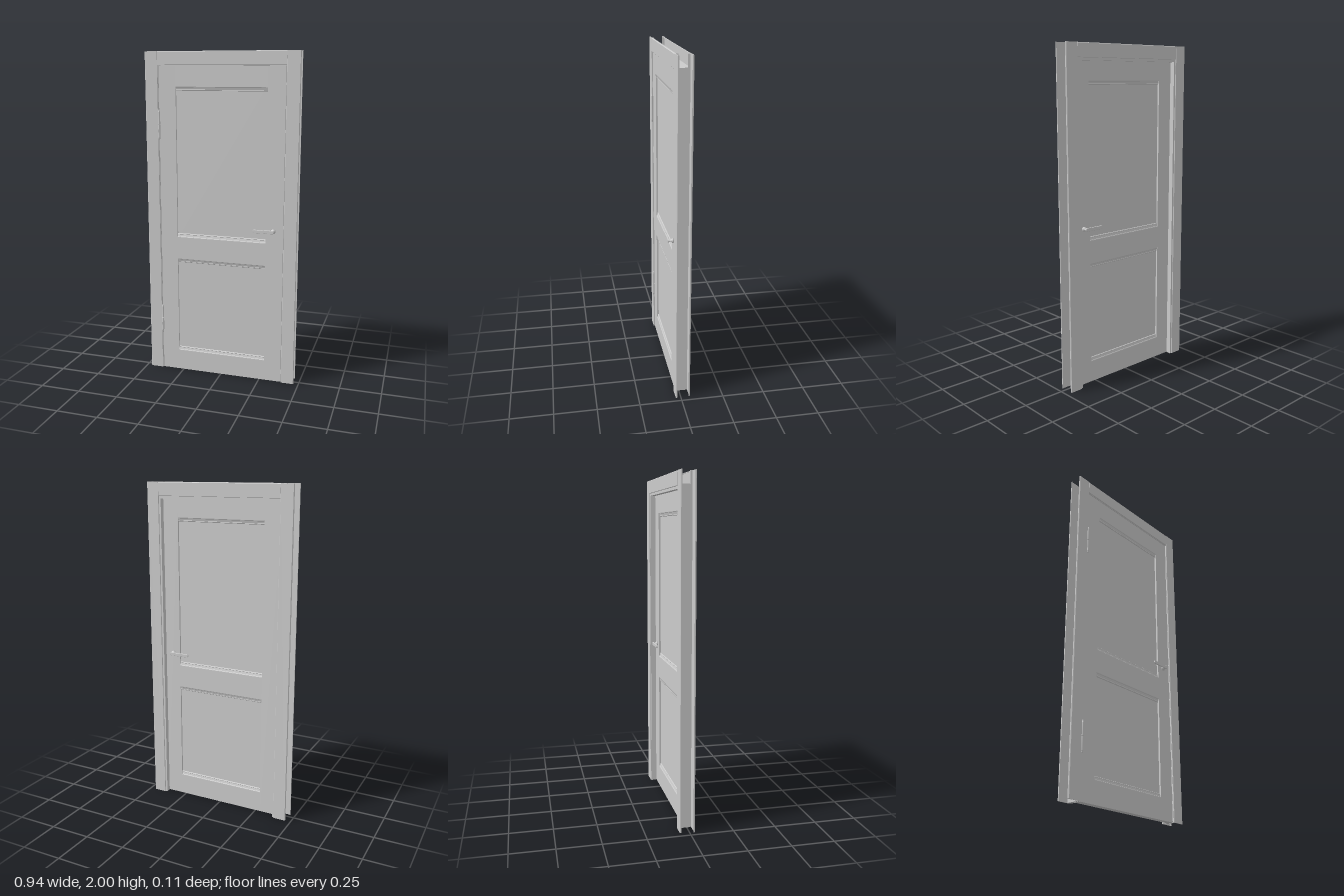
import * as THREE from 'three';

const grey = new THREE.MeshStandardMaterial({ color: 0xcccccc });

function add(parent, name, geometry) {
  const mesh = new THREE.Mesh(geometry, grey);
  mesh.name = name;
  parent.add(mesh);
  return mesh;
}

// Box given by its limits on each axis
function block(parent, name, [x0, x1], [y0, y1], [z0, z1]) {
  const g = new THREE.BoxGeometry(x1 - x0, y1 - y0, z1 - z0);
  g.translate((x0 + x1) / 2, (y0 + y1) / 2, (z0 + z1) / 2);
  return add(parent, name, g);
}

const shapeOf = pts => new THREE.Shape(pts.map(p => new THREE.Vector2(...p)));

// Upright bar: [x, z] profile run from y0 to y1
function upright(parent, name, pts, y0, y1) {
  const g = new THREE.ExtrudeGeometry(shapeOf(pts.map(([x, z]) => [x, -z])), { depth: y1 - y0, bevelEnabled: false });
  g.rotateX(-Math.PI / 2).translate(0, y0, 0);
  return add(parent, name, g);
}

// Level bar: [y, z] profile run from -half to half along x
function level(parent, name, pts, half) {
  const g = new THREE.ExtrudeGeometry(shapeOf(pts.map(([y, z]) => [-z, y])), { depth: 2 * half, bevelEnabled: false });
  g.rotateY(Math.PI / 2).translate(-half, 0, 0);
  return add(parent, name, g);
}

// Thin casing section: u runs outward, v goes in towards the wall
function casingProfile(width) {
  const t = 0.005;
  return [[0, 0.002], [0.002, 0], [width - 0.003, 0], [width, 0.003], [width, 0.009],
    [width - 0.004, 0.009], [width - 0.004, t], [0.005, t], [0.005, 0.018], [0.001, 0.018], [0.001, t], [0, t]];
}

const FRONT = 0.022, BACK = -0.016; // door faces
const INNER = 0.28;                 // inner edge of the stiles

function buildFrame() {
  const frame = new THREE.Group();
  frame.name = 'frame';
  for (const s of [1, -1]) {
    // Rebated jamb: the back part doubles as the door stop
    upright(frame, 'jamb', [[0.389, 0.024], [0.4, 0.024], [0.4, -0.05], [0.376, -0.05],
      [0.376, -0.02], [0.389, -0.02]].map(([x, z]) => [s * x, z]), 0, 1.93);
    upright(frame, 'frontSideCasing', casingProfile(0.08).map(([u, v]) => [s * (0.39 + u), 0.031 - v]), 0, 2);
    upright(frame, 'backSideCasing', casingProfile(0.078).map(([u, v]) => [s * (0.387 + u), -0.056 + v]), 0, 2);
  }
  level(frame, 'headJamb', [[1.918, 0.024], [1.93, 0.024], [1.93, -0.05], [1.905, -0.05],
    [1.905, -0.02], [1.918, -0.02]], 0.39);
  level(frame, 'frontHeadCasing', casingProfile(0.08).map(([u, v]) => [1.92 + u, 0.031 - v]), 0.39);
  level(frame, 'backHeadCasing', casingProfile(0.08).map(([u, v]) => [1.92 + u, -0.056 + v]), 0.387);
  return frame;
}

function buildLeaf() {
  const leaf = new THREE.Group();
  leaf.name = 'doorLeaf';
  const depth = [BACK, FRONT];
  block(leaf, 'rightStile', [-0.386, -INNER], [0, 1.915], depth);
  block(leaf, 'leftStile', [INNER, 0.386], [0, 1.915], depth);
  for (const r of [[0, 0.115], [0.755, 0.865], [1.81, 1.915]]) block(leaf, 'rail', [-INNER, INNER], r, depth);
  for (const p of [[0.115, 0.755], [0.865, 1.81]]) block(leaf, 'panel', [-INNER, INNER], p, [BACK + 0.011, FRONT - 0.011]);

  // Sloped moulding between each rail edge and its panel, on both faces
  for (const [edge, dir] of [[0.115, 1], [0.755, -1], [0.865, 1], [1.81, -1]]) {
    for (const [face, side] of [[FRONT, 1], [BACK, -1]]) {
      const section = [[0, 0], [0.014, 0], [0.017, 0.001], [0.019, 0.003], [0.031, 0.0065],
        [0.033, 0.0055], [0.036, 0.0065], [0.038, 0.009], [0.038, 0.013], [0, 0.013]];
      level(leaf, 'moulding', section.map(([u, v]) => [edge + dir * u, face - side * v]), INNER);
    }
  }
  return leaf;
}

function buildHandle() {
  const handle = new THREE.Group();
  handle.name = 'handle';
  // Flared rose and neck
  const neck = new THREE.LatheGeometry([[0, 0], [0.014, 0], [0.014, 0.007], [0.01, 0.011], [0.005, 0.016],
    [0.004, 0.028], [0, 0.028]].map(p => new THREE.Vector2(...p)), 24);
  add(handle, 'rose', neck.rotateX(Math.PI / 2));
  // Flat lever with rounded ends
  const r = 0.008;
  const bar = new THREE.Shape();
  bar.absarc(0, 0, r, -Math.PI / 2, Math.PI / 2);
  bar.absarc(-0.11, 0, r, Math.PI / 2, Math.PI * 1.5);
  const lever = new THREE.ExtrudeGeometry(bar, { depth: 0.004, bevelThickness: 0.002, bevelSize: 0.002, bevelSegments: 3, curveSegments: 10 });
  add(handle, 'lever', lever.translate(0, 0, 0.027));
  return handle;
}

function buildHinge(y) {
  const hinge = new THREE.Group();
  hinge.name = 'hinge';
  const x = -0.385, z = 0.03;
  // Two knuckles and tapered end caps
  for (const s of [1, -1]) {
    add(hinge, 'knuckle', new THREE.CylinderGeometry(0.0065, 0.0065, 0.075, 16).translate(x, y + s * 0.0385, z));
    const cap = new THREE.CylinderGeometry(0.003, 0.0065, 0.014, 16);
    if (s < 0) cap.rotateX(Math.PI);
    add(hinge, 'hingeCap', cap.translate(x, y + s * 0.083, z));
  }
  block(hinge, 'hingeLeaf', [-0.389, -0.386], [y - 0.07, y + 0.07], [0, 0.028]);
  return hinge;
}

export function createModel() {
  const door = new THREE.Group();
  door.name = 'door';
  door.add(buildFrame(), buildLeaf(), buildHinge(1.57), buildHinge(0.34));

  const front = buildHandle();
  front.name = 'frontHandle';
  front.position.set(0.326, 0.957, FRONT);
  const back = buildHandle();
  back.name = 'backHandle';
  back.position.set(0.326, 0.957, BACK);
  back.rotation.set(Math.PI, 0, 0);
  door.add(front, back);
  return door;
}
